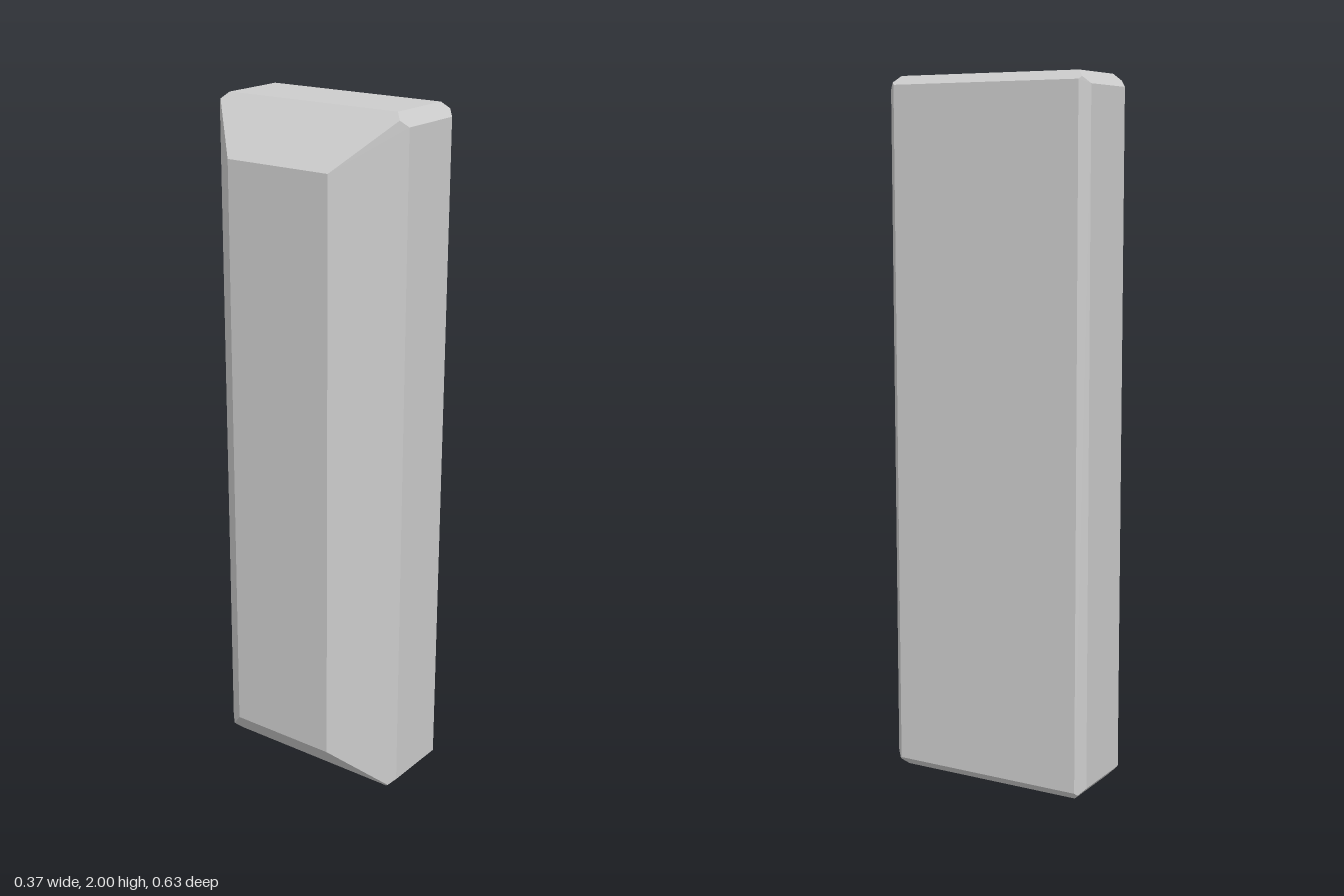
import * as THREE from 'three';
import { ConvexGeometry } from 'three/addons/geometries/ConvexGeometry.js';

const HALF = { x: 0.187, y: 1, z: 0.313 };
const EDGE = 0.036; // bevel between ends and front/back

// Corner points of one octant on the given side, with 45 degree bevel of that size
function cornerPoints(side, bevel) {
  const x = HALF.x - bevel;
  const h = EDGE / 2;
  return [
    [x, HALF.y, HALF.z - EDGE], // end face
    [x, HALF.y - EDGE, HALF.z], // front/back face
    [HALF.x, HALF.y - bevel, HALF.z - bevel], // side face
    [x + h, HALF.y - h, HALF.z - h], // where the three bevels meet
  ].map(([px, py, pz]) => [px * side, py, pz]);
}

export function createModel() {
  const group = new THREE.Group();
  group.name = 'beveledSlab';

  // Narrow bevel on the left (+x), wide bevel on the right (-x), mirrored in y and z
  const points = [];
  for (const [x, y, z] of [...cornerPoints(1, 0.025), ...cornerPoints(-1, 0.148)])
    for (const sy of [1, -1])
      for (const sz of [1, -1])
        points.push(new THREE.Vector3(x, HALF.y + y * sy, z * sz));

  const slab = new THREE.Mesh(
    new ConvexGeometry(points),
    new THREE.MeshStandardMaterial({ color: 0xcccccc, flatShading: true })
  );
  slab.name = 'slab';
  group.add(slab);
  return group;
}
